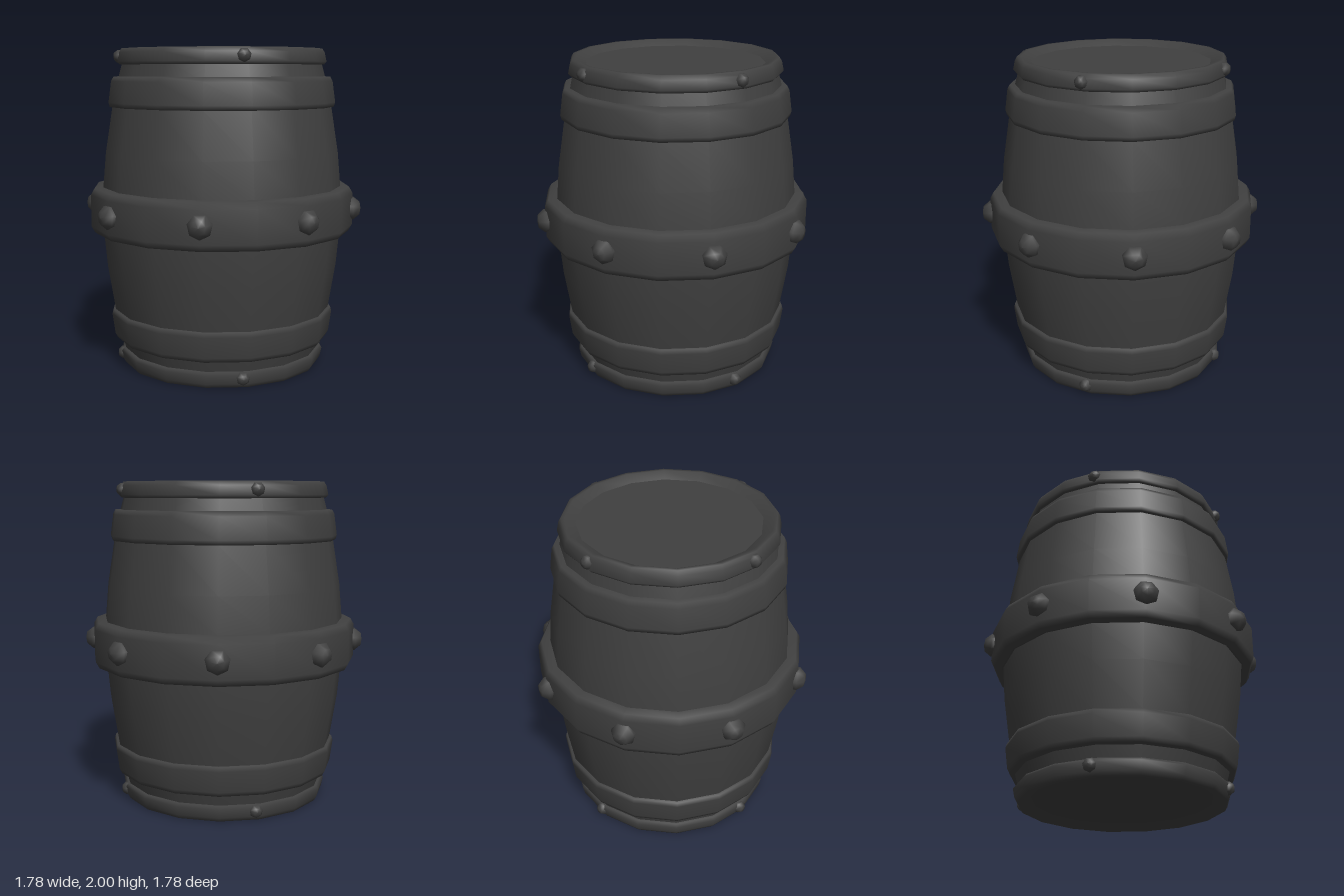
import * as THREE from 'three';

const SIDES = 16;
const MID = 1; // barrel is mirrored about this height

export function createModel() {
  const barrel = new THREE.Group();
  barrel.name = 'barrel';
  const material = new THREE.MeshStandardMaterial({ color: 0x404040 });

  const add = (name, geometry, parent = barrel) => {
    const mesh = new THREE.Mesh(geometry, material);
    mesh.name = name;
    parent.add(mesh);
    return mesh;
  };

  // Profiles are [radius, height], listed from bottom to top.
  const lathe = (profile, sides = SIDES) =>
    new THREE.LatheGeometry(profile.map(([r, y]) => new THREE.Vector2(r, y)), sides);
  const flip = (profile) => profile.map(([r, y]) => [r, 2 * MID - y]).reverse();

  // Bulging body
  const upper = [[0.765, 1], [0.76, 1.14], [0.74, 1.36], [0.695, 1.64], [0.66, 1.8], [0.625, 1.93]];
  add('body', lathe([...flip(upper).slice(0, -1), ...upper]));

  // Wide hoop around the middle
  add('middleHoop', lathe([
    [0.74, 0.857], [0.815, 0.86], [0.838, 0.9], [0.838, 1.1], [0.815, 1.14], [0.74, 1.145],
  ]));

  // Tapered hoops, end rims and recessed lids, mirrored top and bottom
  const hoop = [[0.66, 1.64], [0.71, 1.642], [0.718, 1.67], [0.7, 1.8], [0.685, 1.828], [0.62, 1.832]];
  const rim = [[0.6, 1.9], [0.645, 1.902], [0.66, 1.92], [0.648, 1.975], [0.633, 2], [0.61, 2], [0.55, 1.965]];
  for (const end of ['top', 'bottom']) {
    const top = end === 'top';
    add(end + 'Hoop', lathe(top ? hoop : flip(hoop)));
    add(end + 'Rim', lathe(top ? rim : flip(rim)));
    const lid = add(end + 'Lid', new THREE.CircleGeometry(0.55, SIDES));
    lid.rotation.x = top ? -Math.PI / 2 : Math.PI / 2;
    lid.position.y = top ? 1.965 : 0.035;
  }

  // Domed studs facing outward
  const studShape = lathe([[0.074, -0.03], [0.074, 0.012], [0.042, 0.05], [0, 0.057]], 7);
  const addStud = (name, angle, radius, y, size) => {
    const pivot = new THREE.Group();
    pivot.rotation.y = angle;
    pivot.position.y = y;
    barrel.add(pivot);
    const stud = add(name, studShape, pivot);
    stud.rotation.x = Math.PI / 2;
    stud.position.z = radius;
    stud.scale.setScalar(size);
  };

  for (let i = 0; i < 8; i++) addStud('hoopStud', (i * Math.PI) / 4, 0.833, 1.005, 1);
  for (let i = 0; i < 4; i++) {
    const angle = -0.44 + (i * Math.PI) / 2;
    addStud('topRimStud', angle, 0.648, 1.952, 0.55);
    addStud('bottomRimStud', angle, 0.648, 0.06, 0.55);
  }

  return barrel;
}
